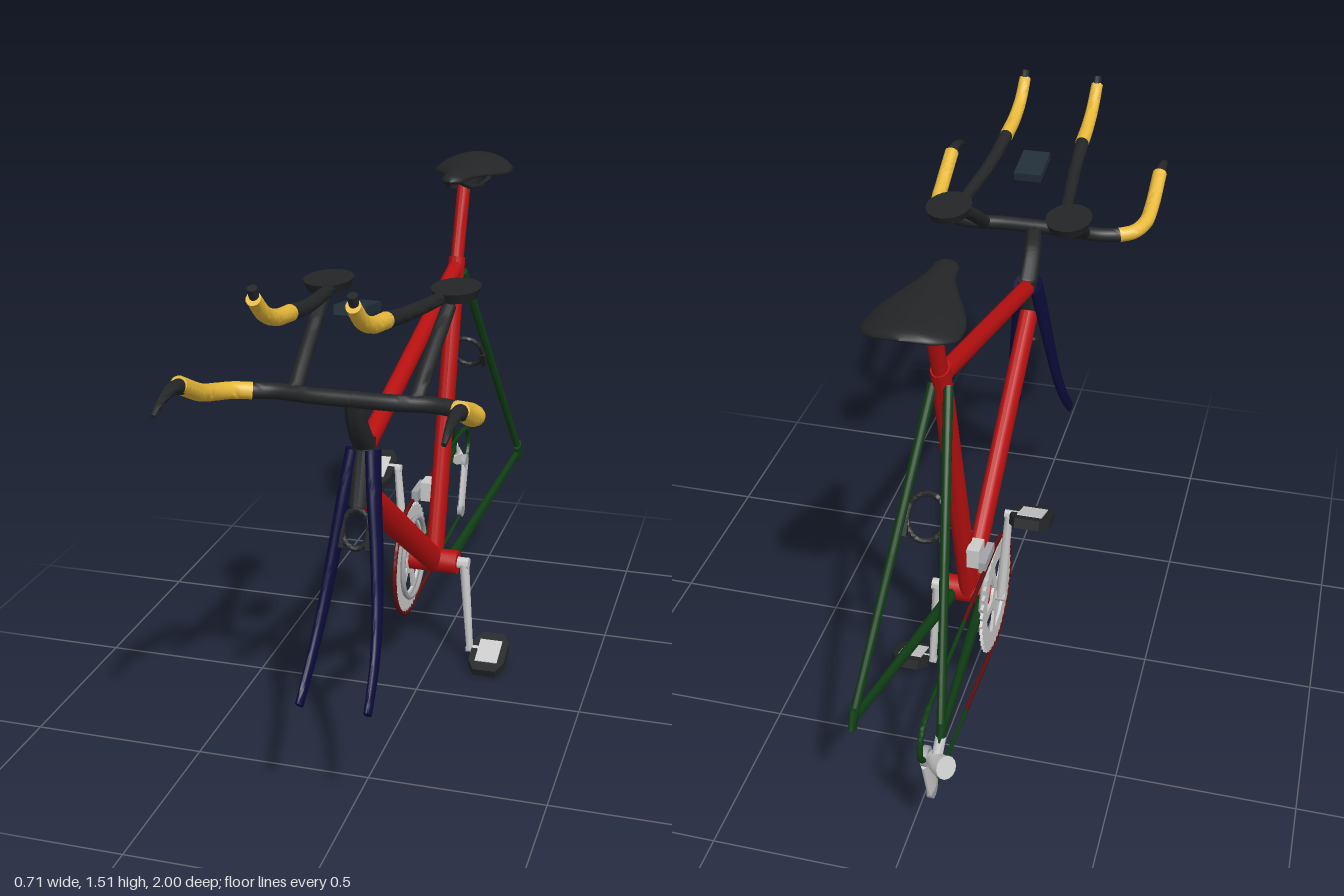
import * as THREE from 'three';
import { toCreasedNormals } from 'three/addons/utils/BufferGeometryUtils.js';
import { ParametricGeometry } from 'three/addons/geometries/ParametricGeometry.js';

const mat = (color) => new THREE.MeshStandardMaterial({ color });
const RED = mat(0xb81010), GREEN = mat(0x0f3d14), NAVY = mat(0x0c0c3c), BLACK = mat(0x232527);
const YELLOW = mat(0xe8b93a), GREY = mat(0xcccccc), SLATE = mat(0x22303a), MAROON = mat(0x5e1010);
const SILVER = mat(0xa2a4a8);
const V = (p) => new THREE.Vector3(...p);

export function createModel() {
  const model = new THREE.Group();

  function add(name, geometry, material, position = [0, 0, 0], parent = model) {
    const mesh = new THREE.Mesh(geometry, material);
    mesh.name = name;
    mesh.position.set(...position);
    parent.add(mesh);
    return mesh;
  }

  // Capped tube through points; radius tapers r0 -> r1, wide scales it sideways (x)
  function tube(name, points, material, r0, r1 = r0, wide = 1, parent = model) {
    const curve = points.length === 2 ? new THREE.LineCurve3(V(points[0]), V(points[1]))
      : new THREE.CatmullRomCurve3(points.map(V));
    const n = points.length === 2 ? 4 : points.length * 6, sides = 14;
    const geometry = new THREE.TubeGeometry(curve, n, 1, sides);
    const pos = geometry.attributes.position, p = new THREE.Vector3();
    for (let i = 0; i <= n; i++) {
      const centre = curve.getPointAt(i / n);
      const t = THREE.MathUtils.clamp((i - 1) / (n - 2), 0, 1);
      const target = curve.getPointAt(t);
      const r = i === 0 || i === n ? 0 : r0 + (r1 - r0) * t;
      for (let j = 0; j <= sides; j++) {
        const k = i * (sides + 1) + j;
        p.fromBufferAttribute(pos, k).sub(centre).multiplyScalar(r);
        p.x *= wide;
        p.add(target);
        pos.setXYZ(k, p.x, p.y, p.z);
      }
    }
    return add(name, toCreasedNormals(geometry, 0.9), material, [0, 0, 0], parent);
  }

  // Main frame
  const bb = [0, 0.34, -0.21];
  tube('seatTube', [bb, [0, 1.235, -0.465]], RED, 0.036, 0.033, 0.75);
  tube('topTube', [[0, 0.965, 0.5], [0, 1.21, -0.46]], RED, 0.028, 0.026, 0.88);
  tube('downTube', [[0, 0.865, 0.53], bb], RED, 0.043, 0.04, 0.65);
  tube('seatPost', [[0, 1.2, -0.455], [0, 1.44, -0.545]], RED, 0.026, 0.026, 0.75);
  tube('bottomBracket', [[-0.075, 0.34, -0.21], [0.075, 0.34, -0.21]], RED, 0.037);
  tube('crankAxle', [[-0.11, 0.34, -0.21], [0.11, 0.34, -0.21]], GREY, 0.018);
  tube('headTube', [[0, 0.83, 0.545], [0, 1.0, 0.49]], BLACK, 0.033, 0.033, 0.85);
  tube('stem', [[0, 0.98, 0.495], [0, 1.02, 0.53], [0, 1.07, 0.56], [0, 1.13, 0.575]], BLACK, 0.03, 0.025);

  // Loop-shaped brake caliper
  function caliper(name, centre, tilt, halfWidth, halfHeight) {
    const group = new THREE.Group();
    group.name = name;
    group.position.set(...centre);
    group.rotation.x = tilt;
    model.add(group);
    const loop = [];
    for (let i = 0; i <= 12; i++) {
      const a = i / 12 * Math.PI * 2;
      loop.push([halfWidth * Math.cos(a), halfHeight * Math.sin(a), 0]);
    }
    tube('caliperLoop', loop, BLACK, 0.008, 0.008, 1, group);
    for (const s of [-1, 1]) {
      add('brakePad', new THREE.BoxGeometry(0.014, 0.05, 0.02), BLACK, [s * halfWidth, -halfHeight * 0.5, 0], group);
    }
  }
  caliper('frontBrake', [0, 0.78, 0.575], -0.25, 0.036, 0.05);
  caliper('rearBrake', [0, 0.89, -0.615], 0.54, 0.05, 0.06);

  // Mirrored pairs
  for (const s of [-1, 1]) {
    const m = (points) => points.map(([x, y, z]) => [s * x, y, z]);
    tube('forkBlade', m([[0.025, 0.97, 0.505], [0.04, 0.85, 0.545], [0.055, 0.73, 0.58], [0.072, 0.58, 0.635],
      [0.083, 0.47, 0.7], [0.09, 0.375, 0.785]]), NAVY, 0.038, 0.02, 0.5);
    tube('seatStay', m([[0.02, 1.19, -0.465], [0.115, 0.45, -0.915]]), GREEN, 0.016, 0.014, 0.8);
    tube('chainStay', m([[0.045, 0.335, -0.24], [0.115, 0.45, -0.915]]), GREEN, 0.022, 0.014, 0.7);
    tube('dropout', m([[0.115, 0.48, -0.895], [0.115, 0.425, -0.92]]), GREEN, 0.024, 0.02, 0.5);

    // Base bar, grips and brake levers
    tube('baseBar', m([[0, 1.13, 0.585], [0.1, 1.13, 0.585], [0.2, 1.13, 0.575], [0.265, 1.13, 0.59]]), BLACK, 0.021);
    tube('baseBarGrip', m([[0.26, 1.13, 0.588], [0.3, 1.135, 0.61], [0.326, 1.145, 0.66], [0.333, 1.165, 0.73],
      [0.335, 1.225, 0.855]]), YELLOW, 0.022);
    tube('brakeLever', m([[0.335, 1.215, 0.835], [0.335, 1.227, 0.89], [0.335, 1.22, 0.945], [0.335, 1.197, 1.0]]),
      BLACK, 0.021, 0.006);

    // Aero extensions with arm pads
    tube('padRiser', m([[0.155, 1.13, 0.575], [0.16, 1.2, 0.47], [0.168, 1.3, 0.3]]), BLACK, 0.021, 0.019);
    tube('aeroExtension', m([[0.16, 1.315, 0.2], [0.145, 1.325, 0.35], [0.125, 1.345, 0.55], [0.117, 1.37, 0.7]]),
      BLACK, 0.016, 0.02);
    tube('aeroGrip', m([[0.117, 1.368, 0.69], [0.115, 1.385, 0.79], [0.114, 1.415, 0.865], [0.114, 1.465, 0.925]]),
      YELLOW, 0.021, 0.018);
    tube('aeroShifter', m([[0.114, 1.45, 0.91], [0.114, 1.49, 0.93]]), BLACK, 0.012);
    const pad = add('armPad', new THREE.CylinderGeometry(1, 0.85, 0.026, 20), BLACK, [s * 0.172, 1.323, 0.24]);
    pad.scale.set(0.064, 1, 0.092);

    // Saddle rails
    tube('saddleRail', m([[0.02, 1.475, -0.4], [0.035, 1.445, -0.49], [0.045, 1.435, -0.58], [0.055, 1.45, -0.67],
      [0.06, 1.48, -0.74]]), BLACK, 0.007);

    // Crank and pedal: down on the +x side, up on the other
    const endY = 0.34 - s * 0.292;
    tube('crankArm', m([[0.095, 0.34, -0.21], [0.116, endY, -0.21]]), GREY, 0.021, 0.015, 0.7);
    tube('pedalAxle', m([[0.105, endY, -0.21], [0.15, endY, -0.21]]), GREY, 0.012);
    const pedal = new THREE.Group();
    pedal.name = 'pedal';
    pedal.position.set(s * 0.18, endY - 0.008, -0.2);
    pedal.rotation.x = 0.37;
    model.add(pedal);
    const body = new THREE.Shape();
    [[-0.056, -0.04], [-0.035, -0.078], [0.035, -0.078], [0.056, -0.04],
      [0.056, 0.04], [0.035, 0.078], [-0.035, 0.078], [-0.056, 0.04]]
      .forEach(([x, y], i) => (i ? body.lineTo(x, y) : body.moveTo(x, y)));
    const bodyGeometry = new THREE.ExtrudeGeometry(body, { depth: 0.028, bevelEnabled: false });
    bodyGeometry.translate(0, 0, -0.014).rotateX(Math.PI / 2);
    add('pedalBody', bodyGeometry, BLACK, [0, 0, 0], pedal);
    add('pedalPlate', new THREE.BoxGeometry(0.07, 0.034, 0.09), GREY, [0, 0, 0], pedal);
  }

  // Handlebar computer
  const computer = add('computer', new THREE.BoxGeometry(0.08, 0.024, 0.13), SLATE, [0, 1.347, 0.535]);
  computer.rotation.x = -0.15;

  // Saddle: narrow nose widening to a broad, drooping tail
  const smooth = THREE.MathUtils.smoothstep;
  add('saddle', new ParametricGeometry((u, v, out) => {
    const end = Math.sqrt(Math.max(0, 1 - Math.abs(2 * u - 1) ** 12));
    const a = v * Math.PI * 2;
    const half = (0.036 + 0.082 * smooth(u, 0.12, 0.72) - 0.03 * smooth(u, 0.8, 1)) * end;
    const x = half * Math.cos(a);
    const y = 1.478 + 0.009 * u + (Math.sin(a) > 0 ? 0.02 : 0.012) * end * Math.sin(a) - 1.6 * x * x;
    out.set(x, y, -0.37 - 0.41 * u);
  }, 32, 28), BLACK);
  add('saddleClamp', new THREE.BoxGeometry(0.09, 0.035, 0.07), BLACK, [0, 1.447, -0.56]);

  // Toothed chainring with windows, turned to face sideways
  const ring = new THREE.Shape(), teeth = 40;
  for (let i = 0; i < teeth * 2; i++) {
    const a = i / teeth * Math.PI, r = i % 2 ? 0.172 : 0.16;
    ring[i ? 'lineTo' : 'moveTo'](r * Math.cos(a), r * Math.sin(a));
  }
  for (let i = 0; i < 5; i++) {
    const a0 = i * Math.PI * 0.4 + 0.14, a1 = (i + 1) * Math.PI * 0.4 - 0.14;
    const hole = new THREE.Path();
    hole.absarc(0, 0, 0.112, a0, a1, false);
    hole.absarc(0, 0, 0.05, a1 - 0.12, a0 + 0.12, true);
    hole.closePath();
    ring.holes.push(hole);
  }
  const ringGeometry = new THREE.ExtrudeGeometry(ring, { depth: 0.008, bevelEnabled: false, curveSegments: 10 });
  ringGeometry.rotateY(Math.PI / 2);
  add('chainring', ringGeometry, GREY, [-0.082, 0.34, -0.21]);
  const inner = add('innerChainring', new THREE.TorusGeometry(0.125, 0.008, 6, 40), SILVER, [-0.066, 0.34, -0.21]);
  inner.rotation.y = Math.PI / 2;

  // Chain: wrap around the front of the ring, two runs, and the rear bend
  const cx = -0.078, wrap = [];
  for (let i = 0; i <= 12; i++) {
    const a = Math.PI / 2 - i / 12 * Math.PI;
    wrap.push([cx, 0.34 + 0.176 * Math.sin(a), -0.21 + 0.176 * Math.cos(a)]);
  }
  tube('chainWrap', wrap, MAROON, 0.007);
  const runs = [['chainTop', [cx, 0.516, -0.21], [cx, 0.516, -0.9]], ['chainBottom', [cx, 0.164, -0.21], [cx, 0.21, -0.88]]];
  for (const [name, a, b] of runs) {
    const mid = V(a).lerp(V(b), 0.5).toArray();
    tube(name + 'Front', [a, mid], MAROON, 0.006);
    tube(name + 'Rear', [mid, b], GREEN, 0.006);
  }
  tube('chainRear', [[cx, 0.516, -0.89], [cx, 0.505, -0.93], [cx, 0.485, -0.96], [cx, 0.44, -0.975],
    [cx, 0.405, -0.96], [cx, 0.38, -0.93]], GREEN, 0.008);
  tube('chainCageRun', [[cx, 0.38, -0.93], [cx, 0.21, -0.88]], GREEN, 0.007);

  // Derailleurs
  tube('rearDerailleurCage', [[cx, 0.375, -0.925], [cx, 0.235, -0.88]], GREY, 0.03, 0.03, 0.35);
  for (const [y, z] of [[0.385, -0.925], [0.225, -0.877]]) {
    tube('jockeyWheel', [[cx - 0.008, y, z], [cx + 0.008, y, z]], SILVER, 0.027);
  }
  tube('rearDerailleurBody', [[-0.1, 0.39, -0.93], [-0.125, 0.4, -0.96], [-0.145, 0.41, -0.975]], GREY, 0.022, 0.03);
  tube('derailleurHanger', [[-0.115, 0.45, -0.915], [-0.11, 0.395, -0.945]], GREY, 0.014);
  add('frontDerailleur', new THREE.BoxGeometry(0.036, 0.06, 0.06), GREY, [-0.04, 0.54, -0.29]);
  add('frontDerailleurCage', new THREE.BoxGeometry(0.02, 0.035, 0.1), SILVER, [-0.072, 0.53, -0.29]);

  return model;
}
